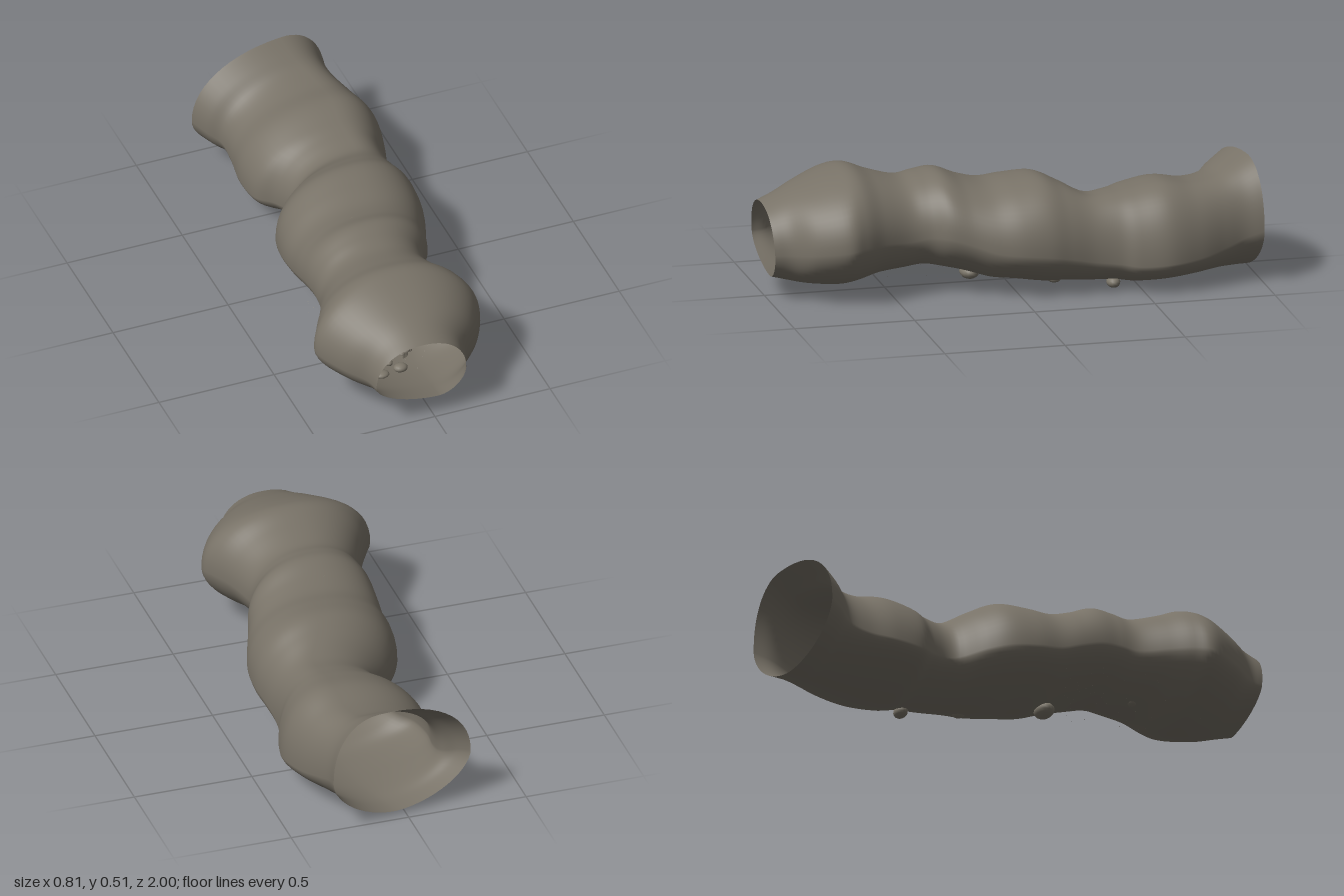
import * as THREE from 'three';
import { mergeGeometries } from 'three/addons/utils/BufferGeometryUtils.js';

// Tunnel stations, front to back: z, min x, max x, top y, bottom y, height fraction of the widest point
const STATIONS = [
  [1.0, -0.25, 0.14, 0.378, 0.09, 0.4],
  [0.93, -0.27, 0.17, 0.41, 0.075, 0.4],
  [0.84, -0.34, 0.25, 0.45, 0.06, 0.42],
  [0.72, -0.405, 0.305, 0.495, 0.05, 0.43],
  [0.64, -0.375, 0.285, 0.51, 0.06, 0.43],
  [0.55, -0.325, 0.24, 0.48, 0.085, 0.42],
  [0.44, -0.275, 0.205, 0.455, 0.1, 0.4],
  [0.36, -0.27, 0.21, 0.47, 0.11, 0.4],
  [0.28, -0.275, 0.255, 0.482, 0.1, 0.4],
  [0.19, -0.275, 0.285, 0.45, 0.08, 0.4],
  [0.1, -0.27, 0.32, 0.435, 0.055, 0.38],
  [0.0, -0.27, 0.35, 0.45, 0.045, 0.36],
  [-0.11, -0.25, 0.36, 0.46, 0.03, 0.35],
  [-0.2, -0.2, 0.35, 0.425, 0.03, 0.34],
  [-0.3, -0.11, 0.34, 0.383, 0.03, 0.32],
  [-0.4, -0.135, 0.35, 0.39, 0.025, 0.29],
  [-0.48, -0.195, 0.38, 0.405, 0.012, 0.28],
  [-0.6, -0.212, 0.402, 0.427, 0.014, 0.28],
  [-0.72, -0.2, 0.375, 0.41, 0.022, 0.31],
  [-0.82, -0.205, 0.335, 0.42, 0.027, 0.36],
  [-0.89, -0.25, 0.315, 0.455, 0.022, 0.4],
  [-0.962, -0.29, 0.32, 0.495, 0.02, 0.42],
];
const planCurve = new THREE.CatmullRomCurve3(
  STATIONS.map((s) => new THREE.Vector3(s[1], s[2], s[0])), false, 'catmullrom', 0.5);
const heightCurve = new THREE.CatmullRomCurve3(
  STATIONS.map((s) => new THREE.Vector3(s[3], s[4], s[5])), false, 'catmullrom', 0.5);

function sectionAt(t) {
  const p = planCurve.getPoint(t), h = heightCurve.getPoint(t);
  const lean = THREE.MathUtils.smoothstep(t, 0.35, 0.9);
  const mid = (p.x + p.y) / 2;
  return {
    z: p.z, left: p.x, right: p.y, top: h.x, bottom: h.y,
    wide: h.y + (h.x - h.y) * h.z,
    topX: mid + 0.1 * lean, bottomX: mid + 0.06 * (1 - lean) + 0.02,
  };
}

// Height of the ceiling (or floor) at a given x and z
function surfaceY(x, z, ceiling) {
  let lo = 0, hi = 1;
  for (let i = 0; i < 24; i++) {
    const m = (lo + hi) / 2;
    if (planCurve.getPoint(m).z > z) lo = m; else hi = m;
  }
  const s = sectionAt(lo), cx = ceiling ? s.topX : s.bottomX, n = ceiling ? 2.2 : 1.8;
  const u = Math.min(1, Math.abs(x - cx) / (x > cx ? s.right - cx : cx - s.left));
  return s.wide + ((ceiling ? s.top : s.bottom) - s.wide) * Math.pow(1 - Math.pow(u, n), 1 / n);
}

// Open tunnel skin lofted through the stations
function tunnelGeometry(rings = 126, sides = 56) {
  const pos = [], idx = [];
  for (let i = 0; i <= rings; i++) {
    const t = i / rings, s = sectionAt(t);
    const endSlant = THREE.MathUtils.smoothstep(t, 0.8, 1);
    for (let j = 0; j < sides; j++) {
      const a = (j / sides) * Math.PI * 2, c = Math.cos(a), v = Math.sin(a);
      const up = v >= 0, n = up ? 2.2 : 1.8, cx = up ? s.topX : s.bottomX;
      const ex = Math.pow(Math.abs(c), 2 / n), ey = Math.pow(Math.abs(v), 2 / n);
      const x = cx + ex * (c > 0 ? s.right - cx : s.left - cx);
      const y = s.wide + ey * ((up ? s.top : s.bottom) - s.wide);
      const frontLean = (1 - THREE.MathUtils.smoothstep(t, 0, 0.12)) * (0.378 - y) * 0.06;
      pos.push(x, y, s.z - endSlant * 0.13 * (x - 0.015) - frontLean);
      if (i < rings) {
        const p = i * sides + j, q = i * sides + (j + 1) % sides;
        idx.push(p, p + sides, q, q, p + sides, q + sides);
      }
    }
  }
  const g = new THREE.BufferGeometry();
  g.setAttribute('position', new THREE.Float32BufferAttribute(pos, 3));
  g.setIndex(idx);
  g.computeVertexNormals();
  return g;
}

export function createModel() {
  const rock = new THREE.MeshStandardMaterial({ name: 'caveRock', color: 0x787267, side: THREE.DoubleSide });
  const stone = new THREE.MeshStandardMaterial({ name: 'stone', color: 0x7c766a });
  const model = new THREE.Group();
  model.name = 'caveTunnel';
  const add = (parent, name, geo, mat, x = 0, y = 0, z = 0) => {
    const m = new THREE.Mesh(geo, mat);
    m.name = name;
    m.position.set(x, y, z);
    parent.add(m);
    return m;
  };
  let seed = 7;
  const rand = () => (seed = (seed * 16807) % 2147483647) / 2147483647;

  add(model, 'tunnelWall', tunnelGeometry(), rock);

  // Stalactites: x, z, tip height, radius
  const spikes = new THREE.Group();
  spikes.name = 'stalactites';
  model.add(spikes);
  [
    [-0.12, 0.5, 0.33, 0.012], [-0.105, 0.45, 0.31, 0.012], [-0.09, 0.5, 0.305, 0.014],
    [-0.08, 0.42, 0.325, 0.011], [-0.065, 0.46, 0.335, 0.01], [-0.035, 0.2, 0.29, 0.014],
    [-0.02, 0.15, 0.245, 0.018], [-0.01, 0.2, 0.3, 0.012], [0.015, 0.05, 0.28, 0.014],
    [0.027, 0.02, 0.255, 0.015], [0.04, 0.05, 0.215, 0.02], [0.055, 0.0, 0.3, 0.012],
    [0.065, -0.03, 0.325, 0.01], [0.09, -0.1, 0.235, 0.016], [0.1, -0.14, 0.31, 0.011],
    [0.127, -0.1, 0.26, 0.016],
  ].forEach(([x, z, tip, r]) => {
    const top = surfaceY(x, z, true) - 0.004;
    const g = new THREE.ConeGeometry(r, top - tip, 7).rotateX(Math.PI);
    add(spikes, 'stalactite', g, stone, x, (top + tip) / 2, z);
  });

  // Pebbles on the floor, some breaking through it: x, y, z, radii
  const pebbles = new THREE.Group();
  pebbles.name = 'pebbles';
  model.add(pebbles);
  [
    [-0.078, 0.146, 0.82, 0.03, 0.017, 0.025], [-0.105, 0.134, 0.76, 0.016, 0.012, 0.016],
    [-0.15, 0.118, 0.8, 0.03, 0.013, 0.025], [-0.06, 0.113, 0.5, 0.026, 0.014, 0.024],
    [0.05, 0.06, 0.16, 0.055, 0.03, 0.04], [0.18, 0.047, -0.16, 0.033, 0.02, 0.03],
    [0.227, 0.026, -0.395, 0.039, 0.024, 0.028],
  ].forEach(([x, y, z, a, b, c]) => {
    add(pebbles, 'pebble', new THREE.SphereGeometry(1, 14, 10).scale(a, b, c), stone, x, y, z);
  });

  // Small mushroom cluster
  const cluster = new THREE.Group();
  cluster.name = 'mushrooms';
  cluster.position.set(-0.05, 0.18, 0.8);
  model.add(cluster);
  [[0, 0, 0.02, 0.036], [-0.017, 0.006, 0.014, 0.028], [0.017, -0.006, 0.014, 0.028]].forEach(([x, z, r, h]) => {
    add(cluster, 'mushroomStem', new THREE.CylinderGeometry(r * 0.25, r * 0.35, h, 8), stone, x * 0.6, h / 2, z);
    const cap = new THREE.SphereGeometry(r, 12, 6, 0, Math.PI * 2, 0, Math.PI / 2).scale(1, 0.6, 1);
    add(cluster, 'mushroomCap', cap, rock, x, h - 0.004, z);
  });

  // Floating dust motes
  const motes = [];
  for (let i = 0; i < 260; i++) {
    const g = new THREE.TetrahedronGeometry(0.0012 + rand() * 0.0012);
    const z = 0.1 + rand() * 0.7;
    g.translate(-0.25 + rand() * 0.35, 0.05 + rand() * 0.3, z);
    motes.push(g);
  }
  add(model, 'dust', mergeGeometries(motes), stone);

  return model;
}
